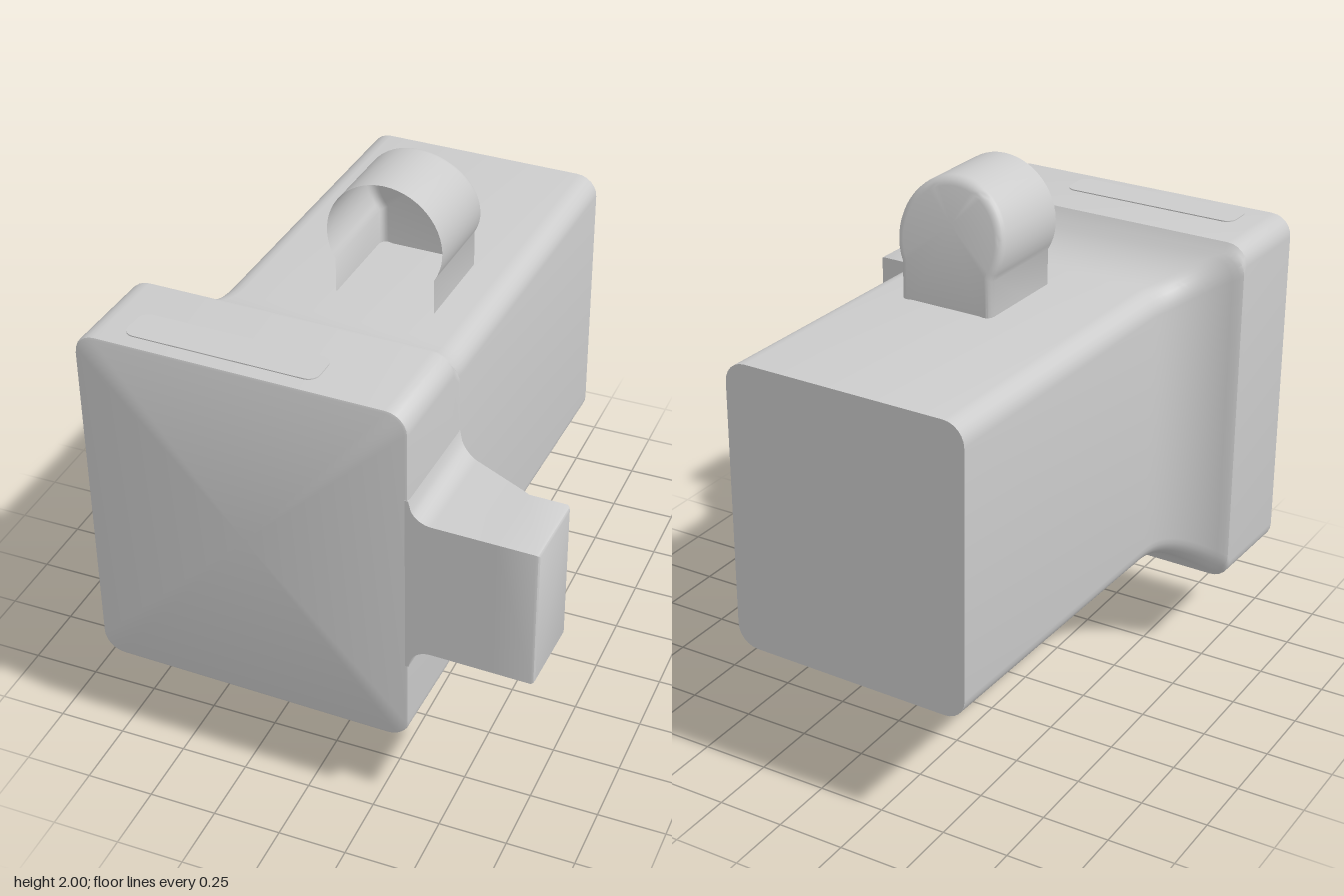
import * as THREE from 'three';
import { toCreasedNormals } from 'three/addons/utils/BufferGeometryUtils.js';

const MID = 1; // height of the horizontal symmetry plane
const material = new THREE.MeshStandardMaterial({ color: 0xcccccc });
const shellMaterial = new THREE.MeshStandardMaterial({ color: 0xcccccc, side: THREE.DoubleSide });

// Skin closed rings of [x, y, z]; rings run counter-clockwise seen from the end ring's side.
function loft(rings, capEnd = true) {
  const n = rings[0].length;
  const pos = rings.flat(2);
  const index = [];
  for (let r = 0; r < rings.length - 1; r++) {
    for (let i = 0; i < n; i++) {
      const j = (i + 1) % n;
      const a = r * n + i, b = r * n + j, c = a + n, d = b + n;
      index.push(a, b, d, a, d, c);
    }
  }
  const cap = (r, flip) => {
    const centre = pos.length / 3;
    for (let k = 0; k < 3; k++) pos.push(rings[r].reduce((s, p) => s + p[k], 0) / n);
    for (let i = 0; i < n; i++) {
      const a = r * n + i, b = r * n + ((i + 1) % n);
      index.push(centre, flip ? b : a, flip ? a : b);
    }
  };
  cap(0, true);
  if (capEnd) cap(rings.length - 1, false);
  const geometry = new THREE.BufferGeometry();
  geometry.setAttribute('position', new THREE.Float32BufferAttribute(pos, 3));
  geometry.setIndex(index);
  return toCreasedNormals(geometry, 0.6);
}

// Rounded rectangle in the xy plane, at depth z
function roundedRing(left, right, half, radius, z, steps = 6) {
  const ring = [];
  const corners = [[right - radius, half - radius], [left + radius, half - radius],
    [left + radius, radius - half], [right - radius, radius - half]];
  corners.forEach(([cx, cy], q) => {
    for (let i = 0; i <= steps; i++) {
      const a = (q + i / steps) * Math.PI / 2;
      ring.push([cx + radius * Math.cos(a), MID + cy + radius * Math.sin(a), z]);
    }
  });
  return ring;
}

// Concave flare that starts at z0 and is cut off at max
function flare(z, z0, r, max) {
  const d = THREE.MathUtils.clamp(z - z0, 0, r);
  return Math.min(max, r - Math.sqrt(r * r - d * d));
}

// Long block flaring out into the wide front plate
function bodyGeometry() {
  const depths = [-0.965, 0.27];
  for (let i = 1; i <= 32; i++) depths.push(0.27 + i * 0.01);
  const rings = depths.map((z) => roundedRing(
    -0.6 - flare(z, 0.27, 0.3, 0.205), 0.338 + flare(z, 0.45, 0.08, 0.058),
    0.5425 + flare(z, 0.33, 0.3, 0.1355), 0.08, z));
  for (const [inset, z] of [[0, 0.941], [0.004, 0.95], [0.012, 0.953]]) {
    rings.push(roundedRing(-0.805 + inset, 0.396 - inset, 0.678 - inset, 0.08 - inset, z));
  }
  return loft(rings);
}

// Side tab: filleted into the plate, tapering at its back
function tabGeometry() {
  const section = (x, inset = 0) => {
    const d = THREE.MathUtils.clamp(0.476 - x, 0, 0.08);
    const h = 0.2675 + 0.08 - Math.sqrt(0.0064 - d * d) - inset;
    const back = (x < 0.7 ? 0.515 + (x - 0.38) * 0.46 : 0.664) + inset;
    const front = 0.953 - inset;
    return [[x, MID - h, back], [x, MID + h, back], [x, MID + h, front], [x, MID - h, front]];
  };
  const rings = [];
  for (let i = 0; i <= 10; i++) rings.push(section(0.376 + i * 0.01));
  for (const x of [0.68, 0.7, 0.833]) rings.push(section(x));
  rings.push(section(0.841, 0.004), section(0.845, 0.012));
  return loft(rings);
}

// Hollow round-topped loop, open at the front, with a sloping rounded back
function loopGeometry() {
  const radius = 0.215, cy = 0.785, bevel = 0.03, start = -0.535;
  const outline = [[0.185, -0.335]];
  for (let i = 0; i <= 36; i++) {
    const a = start + (Math.PI - 2 * start) * i / 36;
    outline.push([radius * Math.cos(a), radius * Math.sin(a)]);
  }
  outline.push([-0.185, -0.335]);
  const backAt = (y) => -0.21 + Math.max(0, y - 0.68) * 0.24;
  const rings = [];
  for (let k = 0; k <= 5; k++) {
    const a = k / 5 * Math.PI / 2;
    const s = 1 - bevel * (1 - Math.sin(a)) / radius;
    rings.push(outline.map(([x, y]) =>
      [x * s, cy + y * s, backAt(cy + y * s) + bevel * (1 - Math.cos(a))]));
  }
  rings.push(outline.map(([x, y]) => [x, cy + y, 0.178]));
  return loft(rings, false);
}

// Thin rounded pad lying on top of the plate
function padGeometry(w, d, r, height) {
  const shape = new THREE.Shape();
  shape.absarc(w / 2 - r, d / 2 - r, r, 0, Math.PI / 2);
  shape.absarc(r - w / 2, d / 2 - r, r, Math.PI / 2, Math.PI);
  shape.absarc(r - w / 2, r - d / 2, r, Math.PI, Math.PI * 1.5);
  shape.absarc(w / 2 - r, r - d / 2, r, Math.PI * 1.5, Math.PI * 2);
  return new THREE.ExtrudeGeometry(shape, { depth: height, bevelEnabled: false, curveSegments: 6 })
    .rotateX(-Math.PI / 2);
}

export function createModel() {
  const model = new THREE.Group();
  model.name = 'plugBlock';
  const add = (name, geometry, mat = material) => {
    const mesh = new THREE.Mesh(geometry, mat);
    mesh.name = name;
    model.add(mesh);
    return mesh;
  };

  add('bodyAndFrontPlate', bodyGeometry());
  add('sideTab', tabGeometry());
  add('topPad', padGeometry(0.7, 0.14, 0.04, 0.012)).position.set(-0.3, 1.67, 0.828);

  // Matching loops above and below
  const loop = loopGeometry();
  add('upperLoop', loop, shellMaterial).position.set(-0.033, MID, 0);
  const lower = add('lowerLoop', loop, shellMaterial);
  lower.position.set(-0.033, MID, 0);
  lower.rotation.z = Math.PI;

  // The whole piece sits slightly turned
  model.rotation.y = -0.027;
  return model;
}
